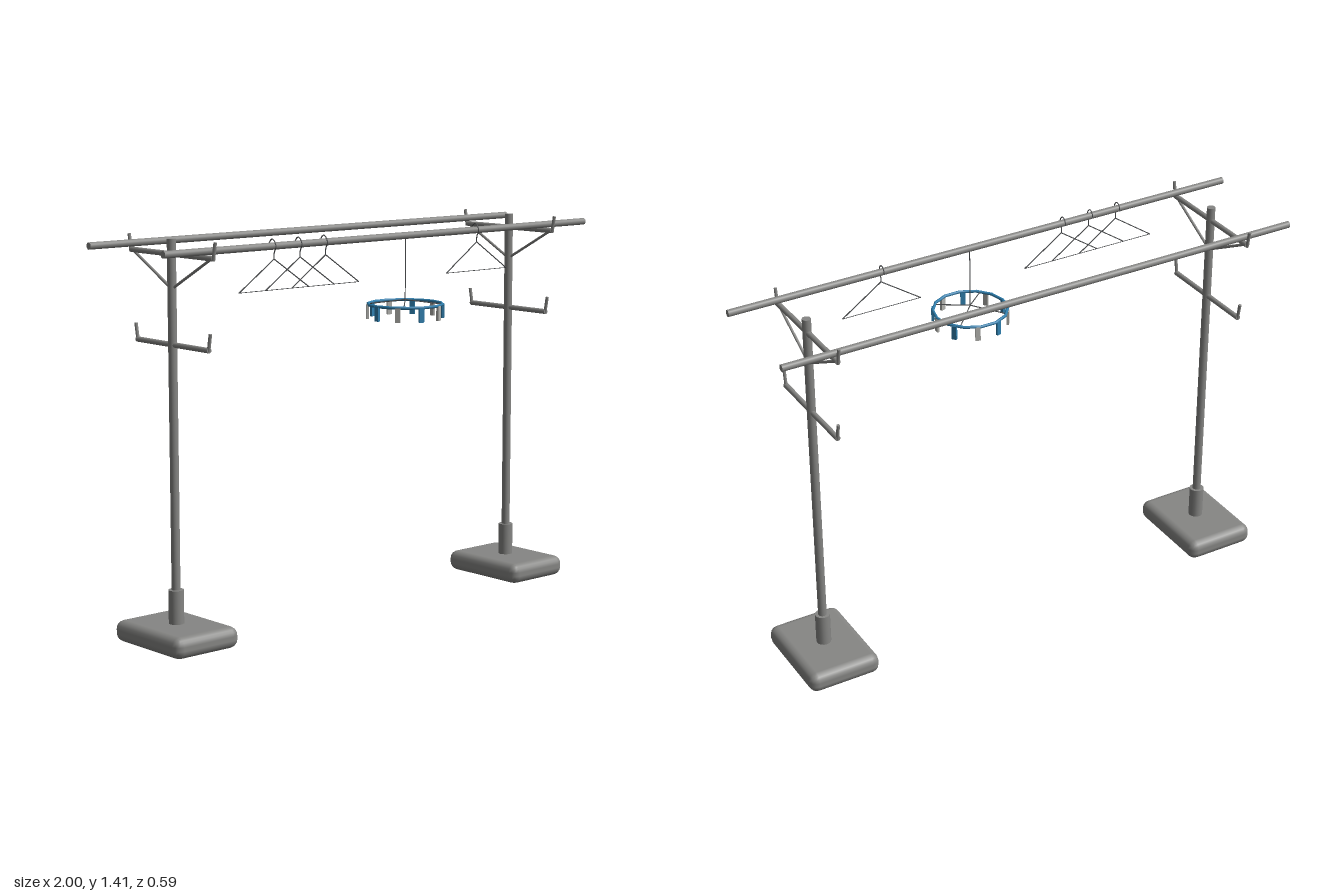
import * as THREE from 'three';
import { RoundedBoxGeometry } from 'three/addons/geometries/RoundedBoxGeometry.js';

const material = (name, color) => {
  const m = new THREE.MeshStandardMaterial({ color });
  m.name = name;
  return m;
};

export function createModel() {
  const steel = material('grey steel', 0x868684);
  const wire = material('dark wire', 0x505254);
  const blue = material('blue plastic', 0x2f7fae);
  const pale = material('pale grey plastic', 0xb4b4b0);
  const V = (x, y, z) => new THREE.Vector3(x, y, z);

  const add = (parent, name, geometry, mat, x = 0, y = 0, z = 0) => {
    const m = new THREE.Mesh(geometry, mat);
    m.name = name;
    m.position.set(x, y, z);
    parent.add(m);
    return m;
  };
  // Round bar between two points
  const rod = (parent, name, a, b, r, mat, sides = 12) => {
    const dir = b.clone().sub(a);
    const m = add(parent, name, new THREE.CylinderGeometry(r, r, dir.length(), sides), mat);
    m.position.copy(a).add(b).multiplyScalar(0.5);
    m.quaternion.setFromUnitVectors(V(0, 1, 0), dir.normalize());
    return m;
  };
  const group = (parent, name, x, y, z) => {
    const g = new THREE.Group();
    g.name = name;
    g.position.set(x, y, z);
    parent.add(g);
    return g;
  };

  const model = new THREE.Group();
  model.name = 'laundryStand';
  const poleZ = -0.053, railZ = 0.155;

  // Two posts with weighted feet and two levels of cross arms
  for (const side of [-1, 1]) {
    const post = group(model, side < 0 ? 'rightPost' : 'leftPost', side * 0.808, 0, poleZ);
    add(post, 'base', new RoundedBoxGeometry(0.274, 0.076, 0.368, 2, 0.031), steel, 0, 0.038, 0);
    add(post, 'sleeve', new THREE.CylinderGeometry(0.027, 0.027, 0.13, 16), steel, 0, 0.13, 0);
    add(post, 'pole', new THREE.CylinderGeometry(0.0155, 0.0155, 1.335, 16), steel, 0, 0.7375, 0);
    rod(post, 'upperArm', V(0, 1.354, -0.228), V(0, 1.354, 0.228), 0.0095, steel);
    rod(post, 'lowerArm', V(0, 1.046, -0.2), V(0, 1.046, 0.2), 0.0095, steel);
    for (const s of [-1, 1]) {
      rod(post, 'brace', V(0, 1.24, s * 0.008), V(0, 1.35, s * 0.212), 0.005, steel, 8);
      rod(post, 'upperHook', V(0, 1.347, s * 0.227), V(0, 1.408, s * 0.238), 0.006, steel, 8);
      rod(post, 'lowerHook', V(0, 1.042, s * 0.196), V(0, 1.102, s * 0.207), 0.006, steel, 8);
    }
  }

  // Long drying rails
  rod(model, 'frontRail', V(-1, 1.378, railZ), V(1, 1.378, railZ), 0.0125, steel, 16);
  rod(model, 'backRail', V(-1, 1.378, -0.26), V(1, 1.378, -0.26), 0.0125, steel, 16);

  // Wire clothes hangers
  for (const x of [-0.54, -0.425, -0.31, 0.42]) {
    const hanger = group(model, 'hanger', x, 0, railZ);
    const hook = [V(0, 1.375, -0.019), V(0, 1.392, -0.014), V(0, 1.402, 0), V(0, 1.392, 0.014),
      V(0, 1.375, 0.019), V(0, 1.357, 0.01), V(0, 1.334, 0.009)];
    const curve = new THREE.CatmullRomCurve3(hook);
    add(hanger, 'hangerHook', new THREE.TubeGeometry(curve, 18, 0.002, 6), wire);
    for (const s of [-1, 1]) {
      rod(hanger, 'shoulder', V(0, 1.335, 0.009), V(s * 0.153, 1.231, 0.009), 0.002, wire, 6);
    }
    rod(hanger, 'hangerBar', V(-0.153, 1.231, 0.009), V(0.153, 1.231, 0.009), 0.0013, wire, 6);
  }

  // Round peg hanger
  const ring = group(model, 'pegHanger', 0.073, 1.134, railZ);
  const hoop = add(ring, 'hoop', new THREE.TorusGeometry(0.134, 0.0055, 8, 14), blue);
  hoop.rotation.x = Math.PI / 2;
  rod(ring, 'hangingWire', V(0, 0.016, 0), V(0, 0.245, 0), 0.0018, wire, 6);
  for (let i = 0; i < 4; i++) {
    const a = Math.PI / 4 + i * Math.PI / 2;
    rod(ring, 'spoke', V(0, 0.016, 0), V(Math.cos(a) * 0.133, 0, Math.sin(a) * 0.133), 0.002, wire, 6);
  }
  for (let i = 0; i < 10; i++) {
    const a = i * Math.PI / 5;
    const peg = add(ring, 'peg', new THREE.BoxGeometry(0.009, 0.052, 0.018), i % 2 ? blue : pale,
      Math.cos(a) * 0.135, -0.026, Math.sin(a) * 0.135);
    peg.rotation.y = -a;
  }
  return model;
}
